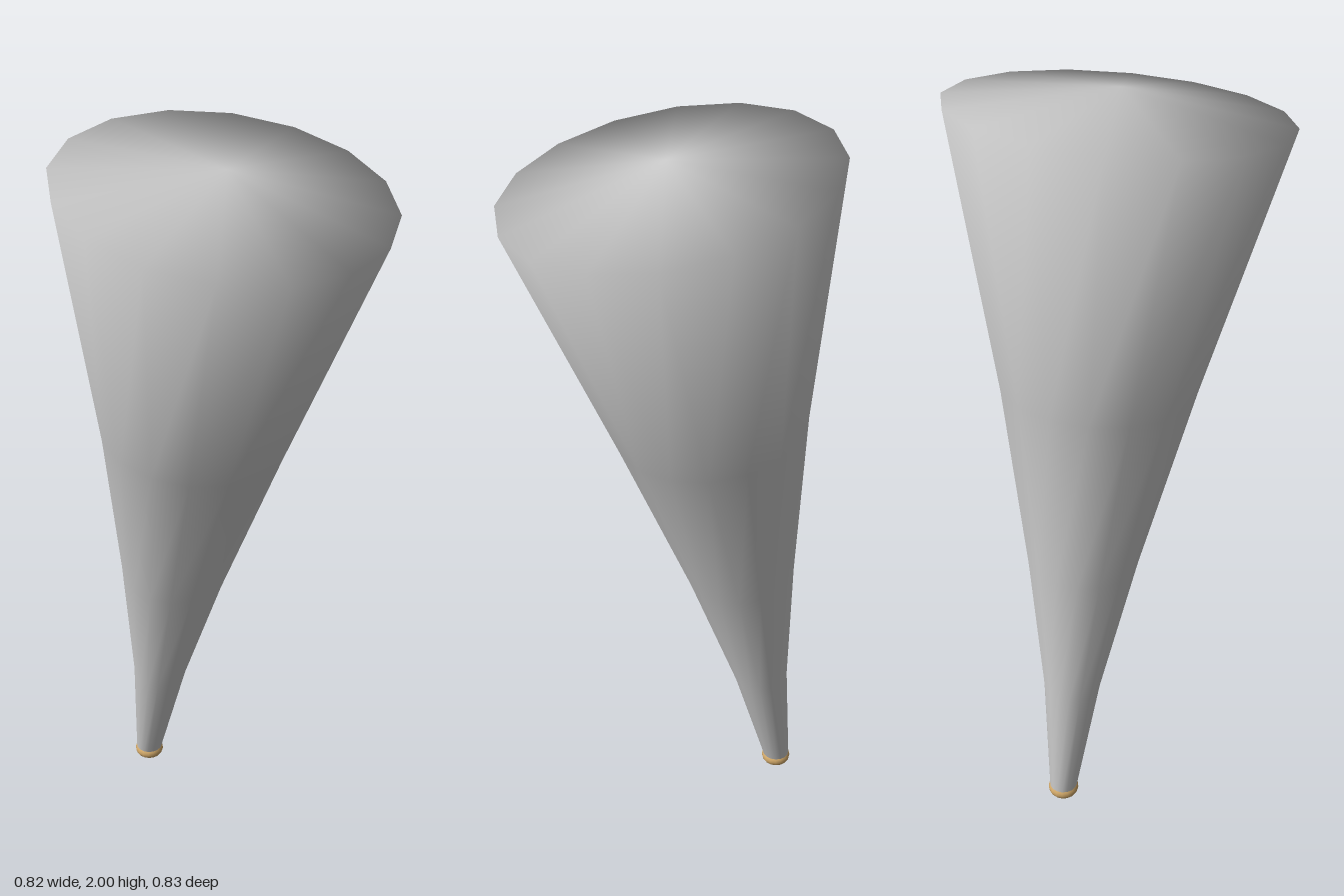
import * as THREE from 'three';

const SIDES = 16;

// Rings along the bent spine: [centre x, centre y, radius, tilt in radians]
const RINGS = [
  [-0.347, 0.04, 0.038, 0.03],
  [-0.285, 0.37, 0.076, 0.06],
  [-0.212, 0.76, 0.146, 0.10],
  [-0.118, 1.25, 0.250, 0.14],
  [-0.002, 1.925, 0.415, 0.182],
];

// Closed, smoothly shaded horn with a shallow conical lid
function hornGeometry() {
  const positions = [];
  const index = [];
  for (const [cx, cy, r, tilt] of RINGS) {
    for (let i = 0; i < SIDES; i++) {
      const a = (i / SIDES) * Math.PI * 2;
      const u = r * Math.cos(a);
      positions.push(cx + u * Math.cos(tilt), cy - u * Math.sin(tilt), r * Math.sin(a));
    }
  }
  const apex = positions.length / 3;
  positions.push(0.006, 1.98, 0);
  const foot = apex + 1;
  positions.push(RINGS[0][0], RINGS[0][1], 0);

  const last = (RINGS.length - 1) * SIDES;
  for (let i = 0; i < SIDES; i++) {
    const j = (i + 1) % SIDES;
    for (let k = 0; k < last; k += SIDES) {
      index.push(k + i, k + SIDES + i, k + j);
      index.push(k + j, k + SIDES + i, k + SIDES + j);
    }
    index.push(last + i, apex, last + j);
    index.push(i, j, foot);
  }
  const geometry = new THREE.BufferGeometry();
  geometry.setAttribute('position', new THREE.Float32BufferAttribute(positions, 3));
  geometry.setIndex(index);
  geometry.computeVertexNormals();
  return geometry;
}

export function createModel() {
  const group = new THREE.Group();
  group.name = 'horn';

  const body = new THREE.Mesh(hornGeometry(), new THREE.MeshStandardMaterial({ color: 0xcccccc }));
  body.name = 'hornBody';
  group.add(body);

  // Small tan bead at the narrow end
  const tip = new THREE.Mesh(
    new THREE.SphereGeometry(0.042, 16, 12),
    new THREE.MeshStandardMaterial({ color: 0xd2a96a })
  );
  tip.name = 'tipBead';
  tip.scale.y = 0.68;
  tip.position.set(-0.347, 0.0286, 0);
  group.add(tip);

  return group;
}
